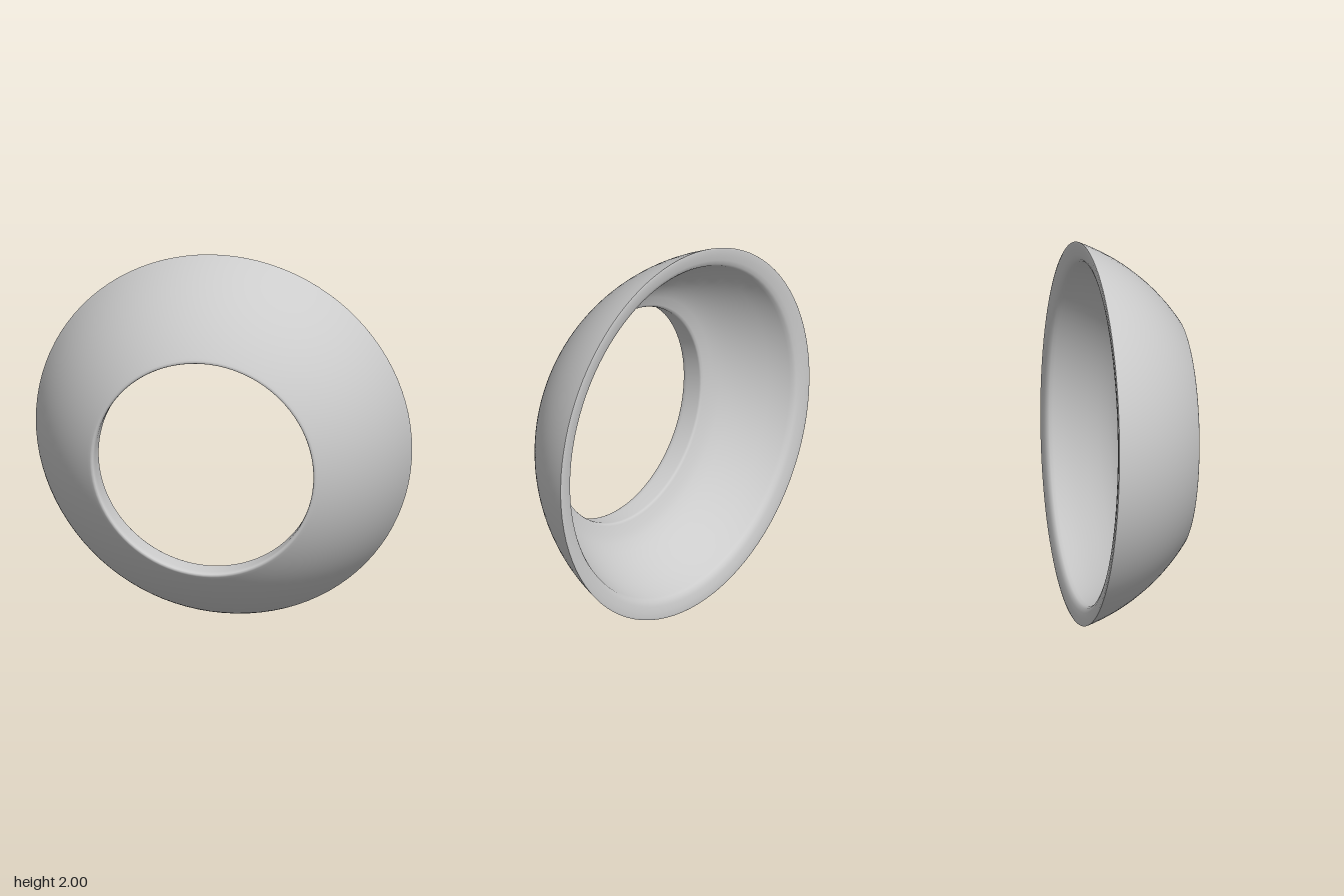
import * as THREE from 'three';

export function createModel() {
  const group = new THREE.Group();
  const profile = [];
  const add = (r, t) => profile.push(new THREE.Vector2(r, t));

  // Outer face: sphere arc from the rim forward to the hole
  const R = 1.067, C = 0.374, steps = 28;
  for (let i = 0; i <= steps; i++) {
    const r = 0.999 - 0.396 * (i / steps);
    add(r, Math.sqrt(R * R - r * r) - C);
  }
  // Softened front edge and the wall of the hole
  add(0.594, 0.51);
  add(0.587, 0.506);
  add(0.583, 0.497);
  add(0.581, 0.48);
  add(0.58, 0.395);
  add(0.584, 0.385);
  add(0.595, 0.379);
  // Inner shoulder and the inner face back to the lip
  add(0.64, 0.362);
  add(0.68, 0.337);
  add(0.72, 0.303);
  add(0.76, 0.259);
  add(0.8, 0.207);
  add(0.84, 0.145);
  add(0.87, 0.09);
  add(0.89, 0.043);
  // Broad rounded lip around the rim
  add(0.897, 0.026);
  add(0.908, 0.014);
  add(0.93, 0.006);
  add(0.96, 0.001);
  add(0.988, -0.002);
  add(0.999, 0.001);

  const ring = new THREE.Mesh(
    new THREE.LatheGeometry(profile, 96),
    new THREE.MeshStandardMaterial({ color: 0xcccccc, side: THREE.DoubleSide })
  );
  ring.name = 'domedRing';

  // The ring stands upright, turned slightly right and down
  const axis = new THREE.Vector3(-0.061, -0.033, 1).normalize();
  ring.quaternion.setFromUnitVectors(new THREE.Vector3(0, 1, 0), axis);
  ring.position.set(-0.002, 0.997, -0.243);
  group.add(ring);
  return group;
}
